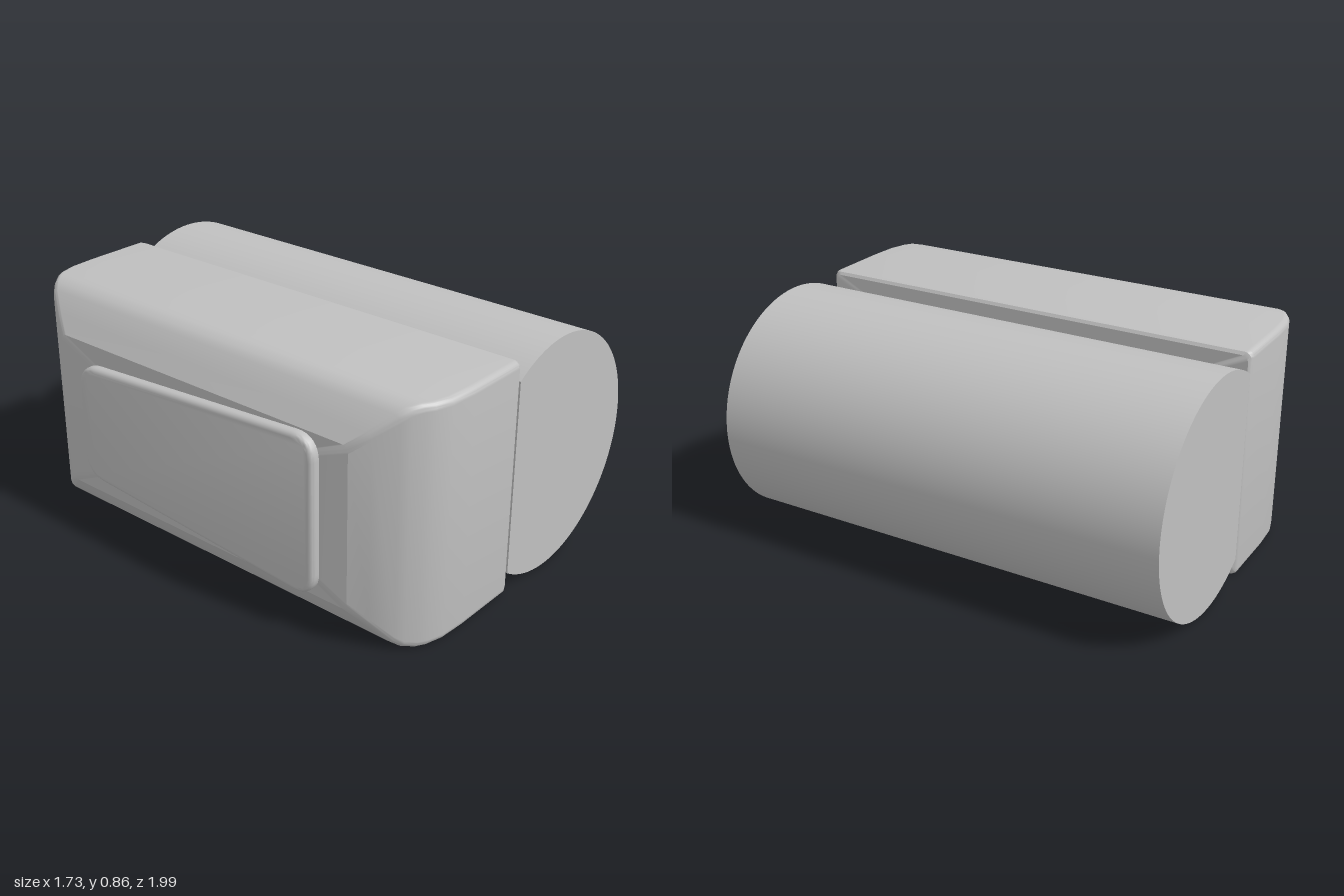
import * as THREE from 'three';
import { toCreasedNormals } from 'three/addons/utils/BufferGeometryUtils.js';

const RADIUS = 0.43, HALF = 0.865, SEAM = 0.243;

// Rounded rectangle in the (z, y) plane
function ring(halfLength, halfHeight, r = 0.025, steps = 6) {
  const points = [];
  [[1, 1], [-1, 1], [-1, -1], [1, -1]].forEach(([sz, sy], q) => {
    for (let k = 0; k <= steps; k++) {
      const a = (q + k / steps) * Math.PI / 2;
      points.push([sz * (halfLength - r) + r * Math.cos(a), sy * (halfHeight - r) + r * Math.sin(a)]);
    }
  });
  return points;
}

// Loft rounded sections [depth, half length, half height] towards -x and cap both ends
function loft(sections) {
  const pos = [], index = [];
  let n = 0;
  for (const [t, s, h] of sections) {
    const points = ring(s, h);
    n = points.length;
    for (const [z, y] of points) pos.push(-t, y, z);
  }
  const last = sections.length - 1, first = (last + 1) * n;
  pos.push(-sections[0][0], 0, 0, -sections[last][0], 0, 0);
  for (let j = 0; j < n; j++) {
    const k = (j + 1) % n;
    for (let i = 0; i < last; i++) {
      const a = i * n + j, b = i * n + k;
      index.push(a, b, b + n, a, b + n, a + n);
    }
    index.push(first, k, j, first + 1, last * n + j, last * n + k);
  }
  const g = new THREE.BufferGeometry();
  g.setAttribute('position', new THREE.Float32BufferAttribute(pos, 3));
  g.setIndex(index);
  return toCreasedNormals(g, 0.5);
}

// Polygon with rounded corners
function roundedShape(corners, r) {
  const shape = new THREE.Shape();
  const v = corners.map(c => new THREE.Vector2(...c));
  v.forEach((p, i) => {
    const toward = q => p.clone().add(q.clone().sub(p).setLength(r));
    const a = toward(v[(i + v.length - 1) % v.length]);
    const b = toward(v[(i + 1) % v.length]);
    if (i) shape.lineTo(a.x, a.y); else shape.moveTo(a.x, a.y);
    shape.quadraticCurveTo(p.x, p.y, b.x, b.y);
  });
  shape.closePath();
  return shape;
}

export function createModel() {
  const grey = new THREE.MeshStandardMaterial({ color: 0xc0c0c0 });
  grey.name = 'light grey';
  const model = new THREE.Group();
  model.name = 'cylinderWithHousing';
  const add = (name, geometry) => {
    const mesh = new THREE.Mesh(geometry, grey);
    mesh.name = name;
    model.add(mesh);
    return mesh;
  };

  // Long cylinder, cut flat where it meets the housing
  const cut = Math.acos(-SEAM / RADIUS);
  const disc = new THREE.Shape();
  disc.absarc(0, 0, RADIUS, -cut, cut, false);
  disc.closePath();
  const barrel = new THREE.ExtrudeGeometry(disc, { depth: 2 * HALF, bevelEnabled: false, curveSegments: 72 });
  barrel.translate(0, 0, -HALF);
  add('cylinder', toCreasedNormals(barrel, 0.5));

  // Housing with rounded seam edges and chamfered outer side
  add('housing', loft([
    [SEAM, 0.855, 0.415], [0.25, 0.863, 0.426], [0.262, 0.868, 0.43],
    [0.5, 0.868, 0.43], [0.6, 0.862, 0.43], [0.66, 0.845, 0.43],
    [0.69, 0.827, 0.43], [0.725, 0.802, 0.42], [0.75, 0.779, 0.4],
    [0.795, 0.71, 0.338], [0.83, 0.65, 0.29],
  ]));

  // Raised tapered panel on the outer side
  const bevel = 0.018;
  const outline = roundedShape([[-0.52, -0.2], [0.52, -0.27], [0.52, 0.27], [-0.52, 0.2]], 0.07);
  const panel = new THREE.ExtrudeGeometry(outline, {
    depth: 0.025, bevelThickness: bevel, bevelSize: bevel, bevelSegments: 4, curveSegments: 8,
  });
  const plate = add('sidePanel', toCreasedNormals(panel, 0.6));
  plate.rotation.y = -Math.PI / 2;
  plate.position.x = -0.82;

  // Stand on the ground, turned about the vertical
  model.position.set(0.1475, RADIUS, -0.037);
  model.rotation.y = 0.376;
  const root = new THREE.Group();
  root.name = 'model';
  root.add(model);
  return root;
}
